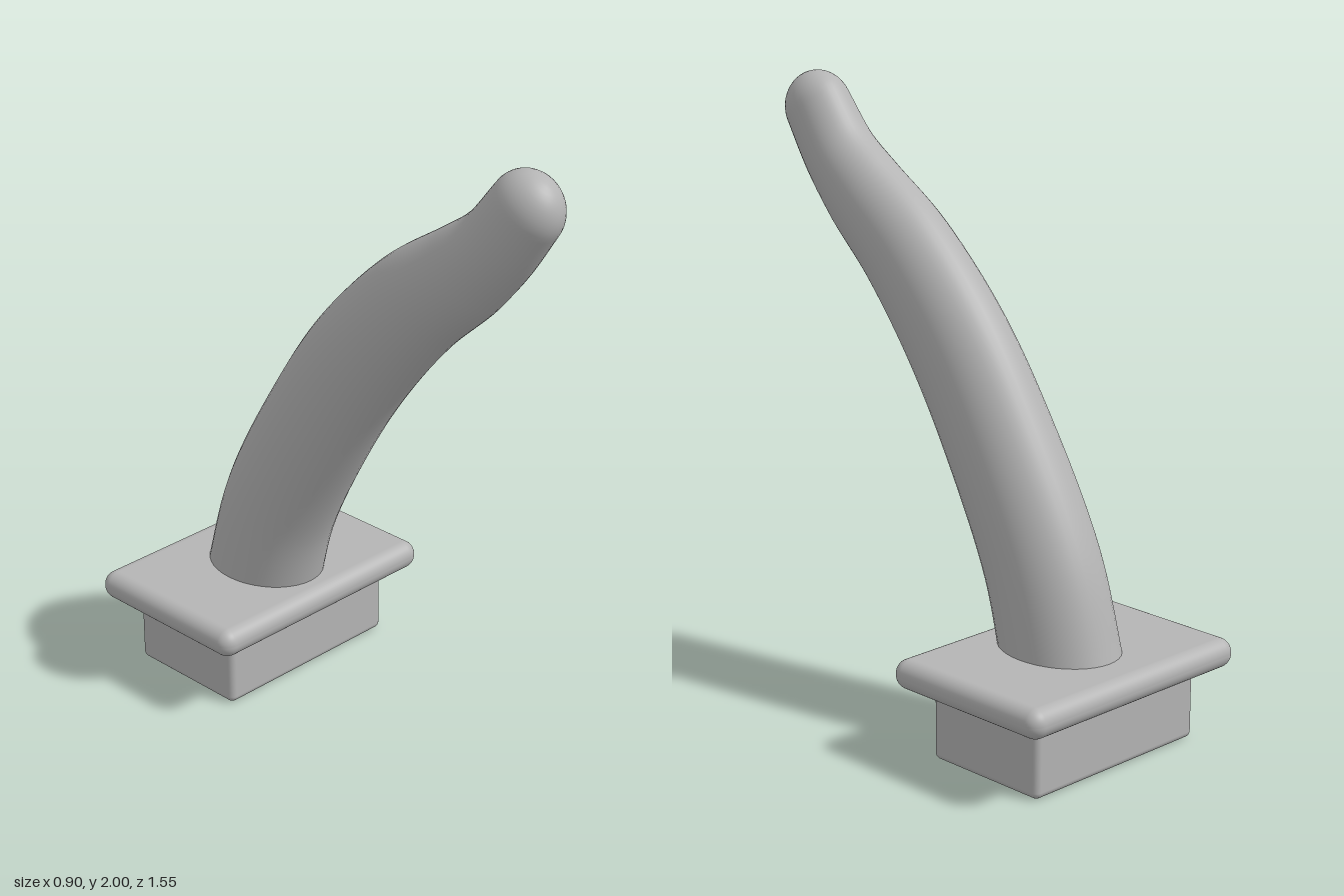
import * as THREE from 'three';
import { RoundedBoxGeometry } from 'three/addons/geometries/RoundedBoxGeometry.js';

// Cross-sections of the lever: [y, z, half width, half depth]
const SECTIONS = [
  [0.25, -0.462, 0.174, 0.205],
  [0.58, -0.365, 0.168, 0.2],
  [0.95, -0.17, 0.157, 0.193],
  [1.22, 0.01, 0.146, 0.187],
  [1.467, 0.233, 0.133, 0.17],
  [1.63, 0.434, 0.12, 0.149],
  [1.74, 0.55, 0.111, 0.129],
  [1.88, 0.655, 0.1, 0.12],
];

// Bent, tapering oval lever with a rounded tip
function leverGeometry(sides = 40, steps = 56, capSteps = 10) {
  const spine = new THREE.CatmullRomCurve3(SECTIONS.map(([y, z]) => new THREE.Vector3(0, y, z)));
  const size = new THREE.CatmullRomCurve3(SECTIONS.map(([, , w, d], i) => new THREE.Vector3(w, d, i)));
  const positions = [];
  const index = [];
  const addRing = (c, t, w, d) => {
    for (let j = 0; j < sides; j++) {
      const a = (j / sides) * Math.PI * 2;
      const s = d * Math.sin(a);
      positions.push(w * Math.cos(a), c.y + t.z * s, c.z - t.y * s);
    }
  };

  for (let i = 0; i <= steps; i++) {
    const u = i / steps;
    const s = size.getPoint(u);
    addRing(spine.getPoint(u), spine.getTangent(u), s.x, s.y);
  }

  // Domed end
  const end = spine.getPoint(1);
  const dir = spine.getTangent(1);
  const [, , w, d] = SECTIONS[SECTIONS.length - 1];
  for (let i = 1; i < capSteps; i++) {
    const a = (i / capSteps) * Math.PI / 2;
    addRing(end.clone().addScaledVector(dir, d * Math.sin(a)), dir, w * Math.cos(a), d * Math.cos(a));
  }
  const rings = steps + capSteps;
  for (let i = 0; i < rings - 1; i++) {
    for (let j = 0; j < sides; j++) {
      const k = (j + 1) % sides;
      const a = i * sides + j, b = i * sides + k;
      index.push(a, b, b + sides, a, b + sides, a + sides);
    }
  }
  const pole = rings * sides;
  const tip = end.clone().addScaledVector(dir, d);
  positions.push(0, tip.y, tip.z);
  for (let j = 0; j < sides; j++) {
    index.push(pole - sides + j, pole - sides + (j + 1) % sides, pole);
  }

  const geometry = new THREE.BufferGeometry();
  geometry.setAttribute('position', new THREE.Float32BufferAttribute(positions, 3));
  geometry.setIndex(index);
  geometry.computeVertexNormals();
  return geometry;
}

export function createModel() {
  const group = new THREE.Group();
  const grey = new THREE.MeshStandardMaterial({ color: 0xb4b4b4 });
  grey.name = 'grey';

  const add = (name, geometry, y = 0, z = 0) => {
    const mesh = new THREE.Mesh(geometry, grey);
    mesh.name = name;
    mesh.position.set(0, y, z);
    group.add(mesh);
  };

  // Mounting block, flange plate and lever
  add('mountingBlock', new RoundedBoxGeometry(0.704, 0.24, 0.445, 4, 0.022), 0.12, -0.467);
  add('flangePlate', new RoundedBoxGeometry(0.9, 0.096, 0.622, 6, 0.046), 0.282, -0.468);
  add('lever', leverGeometry());
  return group;
}
